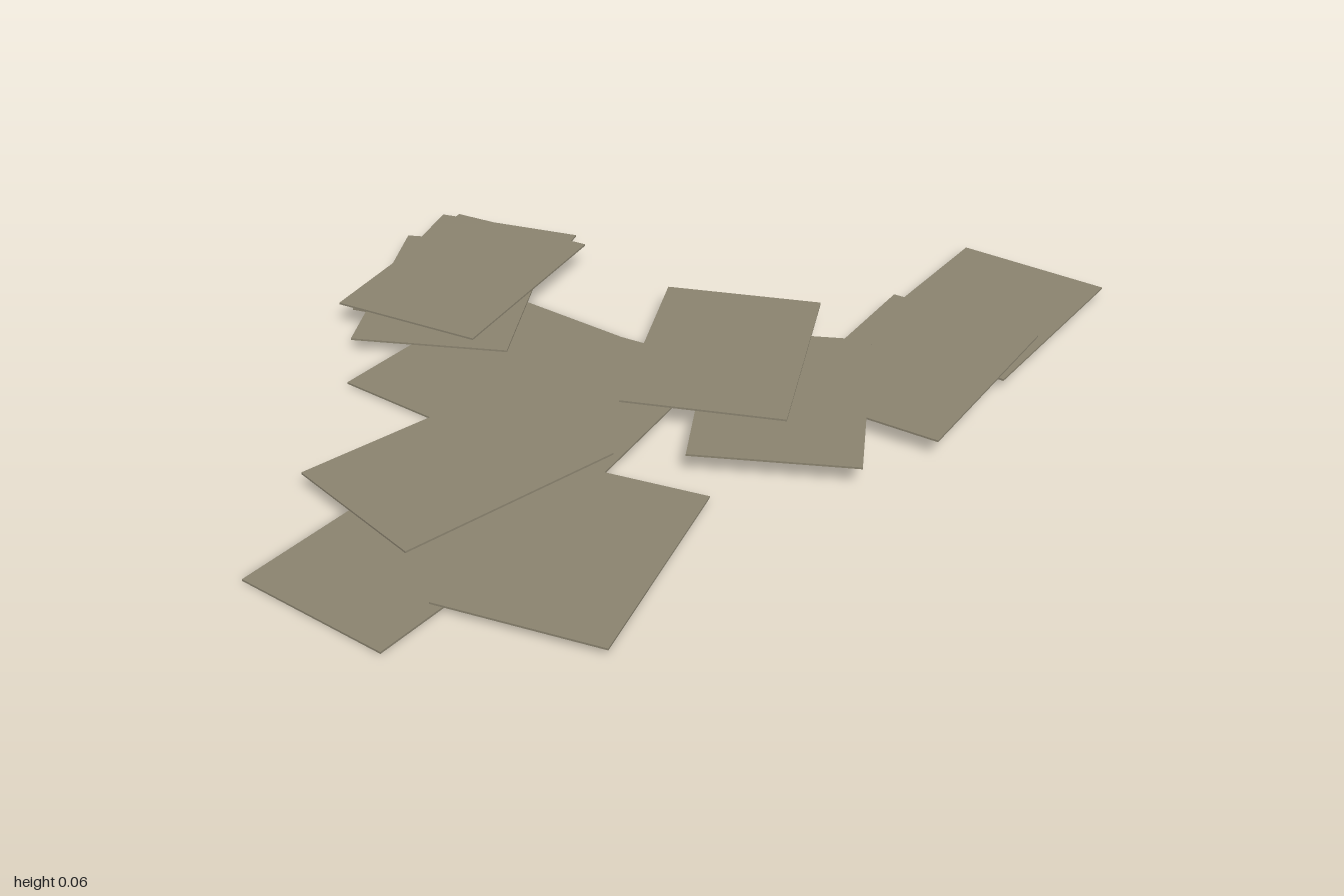
import * as THREE from 'three';

// Scattered pile of identical flat slabs, listed from the lowest to the highest
const WIDTH = 0.482, DEPTH = 0.332, THICK = 0.004, STEP = 0.0048;

// [centre x, centre z, turn in degrees]
const SLABS = [
  [-0.721, 0.308, 16.8],
  [-0.250, -0.170, 17.4],
  [-0.168, 0.081, 25.0],
  [-0.485, 0.497, 31.9],
  [0.717, 0.298, 18.7],
  [-0.092, -0.497, 35.2],
  [-0.168, -0.428, 45.4],
  [-0.524, 0.168, 5.3],
  [0.418, 0.402, 21.3],
  [0.117, 0.347, 46.2],
  [0.127, 0.145, 41.7],
  [-0.130, -0.444, 26.6],
];

export function createModel() {
  const group = new THREE.Group();
  group.name = 'slabPile';
  const stone = new THREE.MeshStandardMaterial({ color: 0x8a836f });
  stone.name = 'greyBrown';
  const geometry = new THREE.BoxGeometry(WIDTH, THICK, DEPTH);

  SLABS.forEach(([x, z, turn], i) => {
    const slab = new THREE.Mesh(geometry, stone);
    slab.name = `slab${i + 1}`;
    slab.position.set(x, THICK / 2 + i * STEP, z);
    slab.rotation.y = THREE.MathUtils.degToRad(turn);
    group.add(slab);
  });
  return group;
}
